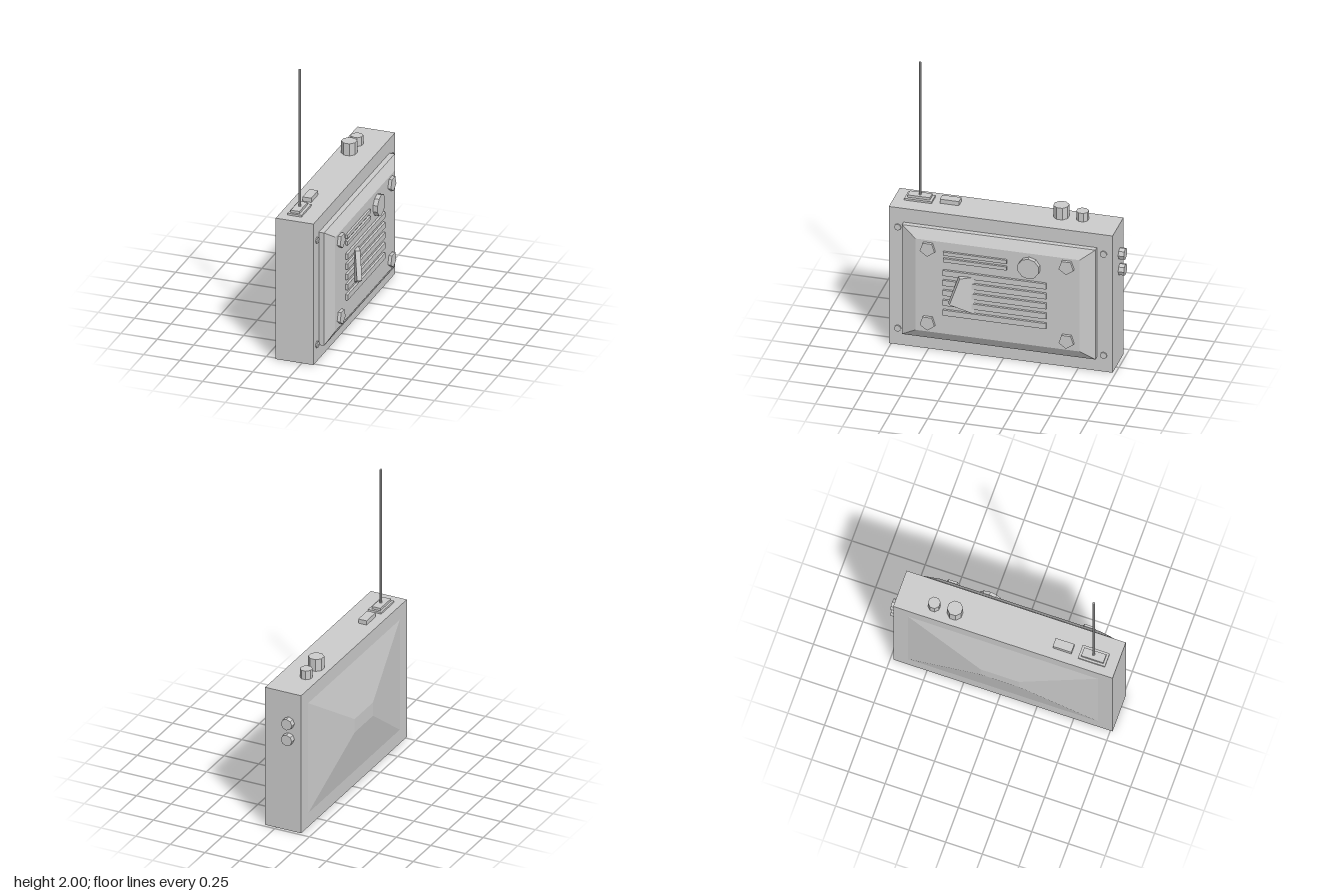
import * as THREE from 'three';

const mat = new THREE.MeshStandardMaterial({ color: 0xcccccc, flatShading: true });

export function createModel() {
  const root = new THREE.Group();

  function add(name, geo, x = 0, y = 0, z = 0) {
    const m = new THREE.Mesh(geo, mat);
    m.name = name;
    m.position.set(x, y, z);
    root.add(m);
    return m;
  }

  // Box given by its limits on each axis
  function box(name, x0, x1, y0, y1, z0, z1) {
    return add(name, new THREE.BoxGeometry(x1 - x0, y1 - y0, z1 - z0),
      (x0 + x1) / 2, (y0 + y1) / 2, (z0 + z1) / 2);
  }

  // Truncated pyramid along x: each end is [x, y0, y1, z0, z1], a at the larger x
  function frustum(name, a, b) {
    const geo = new THREE.BoxGeometry(2, 2, 2);
    const p = geo.attributes.position;
    for (let i = 0; i < p.count; i++) {
      const e = p.getX(i) > 0 ? a : b;
      p.setXYZ(i, e[0], p.getY(i) > 0 ? e[2] : e[1], p.getZ(i) > 0 ? e[4] : e[3]);
    }
    geo.computeVertexNormals();
    return add(name, geo);
  }

  // Upright knob standing on the top of the case
  function topKnob(name, z, r, h) {
    const g = new THREE.CylinderGeometry(r, r, h, 8);
    g.rotateY(Math.PI / 8);
    add(name, g, -0.09, 1 + h / 2, z);
  }

  // Disc facing +x, with one corner pointing down
  function faceDisc(name, x0, x1, y, z, r, sides, rTip = r) {
    const g = new THREE.CylinderGeometry(rTip, r, x1 - x0, sides);
    g.rotateZ(-Math.PI / 2);
    g.rotateX(Math.PI);
    // the first corner lies on z; turn it to -y
    g.rotateX(-Math.PI / 2 + Math.PI);
    const p = g.attributes.position;
    let low = 0;
    for (let i = 0; i < p.count; i++) low = Math.min(low, p.getY(i));
    if (low > -r * 0.99) g.rotateX(Math.PI);
    add(name, g, (x0 + x1) / 2, y, z);
  }

  // Case with a bulging back
  box('case', -0.18, 0.08, 0, 1, -0.73, 0.765);
  frustum('backBulge', [-0.18, 0.1, 0.9, -0.63, 0.665], [-0.25, 0.46, 0.557, -0.11, 0.15]);

  // Raised face panel with a bevelled rim
  box('panelBase', 0.08, 0.116, 0.1, 0.9, -0.625, 0.667);
  frustum('panelBevel', [0.155, 0.165, 0.833, -0.53, 0.567], [0.116, 0.1, 0.9, -0.625, 0.667]);

  // Pentagonal panel bolts and small case screws
  for (const y of [0.235, 0.775])
    for (const z of [-0.445, 0.483]) faceDisc('panelBolt', 0.15, 0.176, y, z, 0.052, 5);
  for (const y of [0.12, 0.86])
    for (const z of [-0.67, 0.705]) faceDisc('caseScrew', 0.08, 0.089, y, z, 0.023, 8);

  // Dial, scale bars and speaker slats
  faceDisc('dial', 0.15, 0.186, 0.735, -0.195, 0.073, 10);
  for (const y of [0.756, 0.708]) box('scaleBar', 0.15, 0.17, y - 0.013, y + 0.013, -0.045, 0.378);
  for (let i = 0; i < 5; i++) {
    const y = 0.325 + i * 0.0725;
    box('speakerSlat', 0.15, 0.171, y - 0.02, y + 0.02, -0.31, 0.38);
  }

  // Slanted lever plate on the speaker
  const plate = new THREE.Shape([[-0.02, 0.34], [0.144, 0.43], [0.075, 0.61], [-0.02, 0.61]]
    .map(([u, y]) => new THREE.Vector2(u, y)));
  const leverGeo = new THREE.ExtrudeGeometry(plate, { depth: 0.033, bevelEnabled: false });
  const dir = new THREE.Vector3(0.5, 0, 0.866);
  const up = new THREE.Vector3(0, 1, 0);
  leverGeo.applyMatrix4(new THREE.Matrix4().makeBasis(dir, up, new THREE.Vector3().crossVectors(dir, up)));
  // the plate's thickness runs inwards from its outer face
  add('lever', leverGeo, 0.173, 0, 0.19);

  // Aerial on a stepped foot, with a push button beside it
  box('aerialFoot', -0.125, -0.03, 1, 1.013, 0.51, 0.693);
  box('aerialStep', -0.11, -0.05, 1.013, 1.03, 0.527, 0.677);
  add('aerial', new THREE.CylinderGeometry(0.008, 0.008, 0.97, 8), -0.077, 1.515, 0.6);
  box('pushButton', -0.11, -0.05, 1, 1.03, 0.333, 0.46);

  // Knobs on the top
  topKnob('largeKnob', -0.34, 0.052, 0.085);
  topKnob('smallKnob', -0.482, 0.041, 0.062);

  // Sockets on the end
  for (const y of [0.67, 0.785]) {
    const g = new THREE.CylinderGeometry(0.04, 0.04, 0.038, 8);
    g.rotateX(Math.PI / 2);
    add('endSocket', g, -0.092, y, -0.749);
  }

  return root;
}
